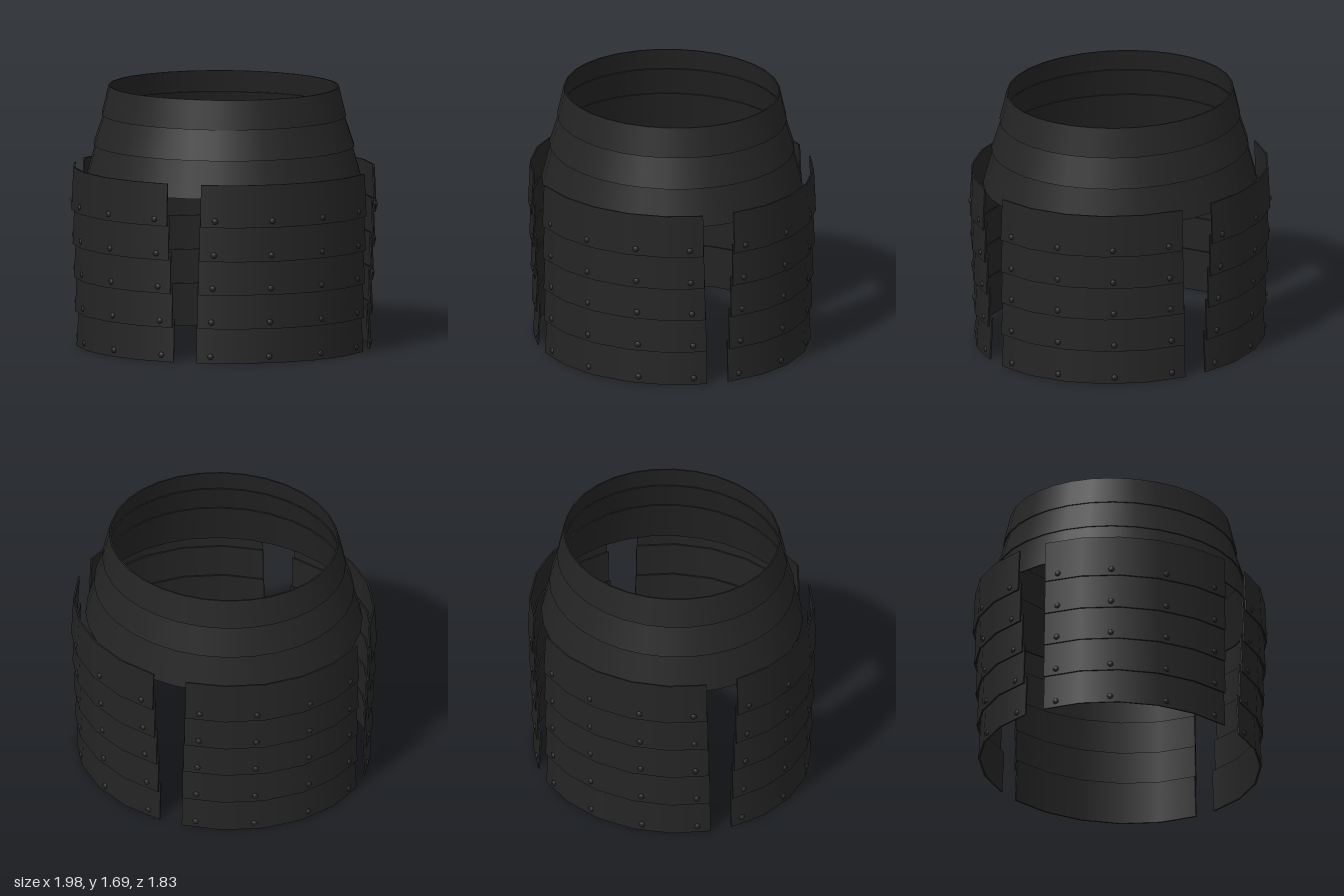
import * as THREE from 'three';
import { mergeGeometries } from 'three/addons/utils/BufferGeometryUtils.js';

const DEPTH = 0.925; // z/x ratio of the oval plan

// Sharp-edged plate: a four-point section swept around the oval
function plate(rTop, yTop, rBottom, yBottom, thick, segments, start = 0, length = Math.PI * 2) {
  const section = [[rBottom, yBottom], [rTop, yTop], [rTop - thick, yTop], [rBottom - thick, yBottom]]
    .map(([r, y]) => new THREE.Vector2(r, y));
  const parts = section.map((p, i) =>
    new THREE.LatheGeometry([p, section[(i + 1) % 4]], segments, start, length));
  if (length < 6) {
    // Close both ends of an open plate
    const [ob, ot, it, ib] = section;
    [[start, [it, ot, ib, ob]], [start + length, [ot, it, ob, ib]]].forEach(([a, corners]) => {
      const cap = new THREE.PlaneGeometry(1, 1);
      corners.forEach((c, i) => cap.attributes.position.setXYZ(i, c.x * Math.sin(a), c.y, c.x * Math.cos(a)));
      cap.computeVertexNormals();
      parts.push(cap);
    });
  }
  return mergeGeometries(parts).scale(1, 1, DEPTH);
}

export function createModel() {
  const model = new THREE.Group();
  model.name = 'armourSkirt';
  const steel = new THREE.MeshStandardMaterial({ color: 0x242424 });
  steel.name = 'blackened steel';

  const add = (parent, name, geometry) => {
    const mesh = new THREE.Mesh(geometry, steel);
    mesh.name = name;
    parent.add(mesh);
    return mesh;
  };

  // Three overlapping waist hoops, widening downward
  [
    [0.75, 1.69, 0.796, 1.5],
    [0.768, 1.55, 0.85, 1.305],
    [0.822, 1.36, 0.905, 1.063],
  ].forEach((h, i) => add(model, 'waistHoop' + (i + 1), plate(...h, 0.01, 32)));

  // Lames from top to bottom: top radius, top y, bottom radius, bottom y, end inset
  const lames = [
    [0.985, 1.165, 0.998, 0.888, 0.114],
    [0.978, 0.945, 0.989, 0.665, 0.105],
    [0.968, 0.72, 0.98, 0.447, 0.095],
    [0.96, 0.5, 0.972, 0.225, 0.085],
    [0.947, 0.28, 0.962, 0, 0.077],
  ];
  const SEGMENTS = 5;
  const dome = new THREE.SphereGeometry(0.02, 10, 4, 0, Math.PI * 2, 0, Math.PI / 2).scale(1, 0.65, 1);
  const up = new THREE.Vector3(0, 1, 0);

  // Four hanging panels, one for each quarter
  ['frontLeft', 'backLeft', 'backRight', 'frontRight'].forEach((side, quarter) => {
    const panel = new THREE.Group();
    panel.name = side + 'Panel';
    model.add(panel);

    lames.forEach(([rTop, yTop, rBottom, yBottom, inset], i) => {
      const gap = Math.asin(inset / rBottom);
      const start = quarter * Math.PI / 2 + gap;
      const length = Math.PI / 2 - 2 * gap;
      add(panel, 'lame' + (i + 1), plate(rTop, yTop, rBottom, yBottom, 0.011, SEGMENTS, start, length));

      // Four domed rivets seated on the facets near the lower edge
      const step = length / SEGMENTS;
      const margin = 0.095;
      for (let k = 0; k < 4; k++) {
        const along = margin + (length - 2 * margin) * k / 3;
        const mid = (Math.floor(along / step) + 0.5) * step;
        const r = (rBottom - 0.003) * Math.cos(step / 2) / Math.cos(along - mid);
        const a = start + along, m = start + mid;
        const rivet = add(panel, 'rivet', dome);
        rivet.position.set(r * Math.sin(a), yBottom + 0.042, r * Math.cos(a) * DEPTH);
        const normal = new THREE.Vector3(Math.sin(m), 0.04, Math.cos(m) / DEPTH).normalize();
        rivet.quaternion.setFromUnitVectors(up, normal);
      }
    });
  });

  return model;
}
